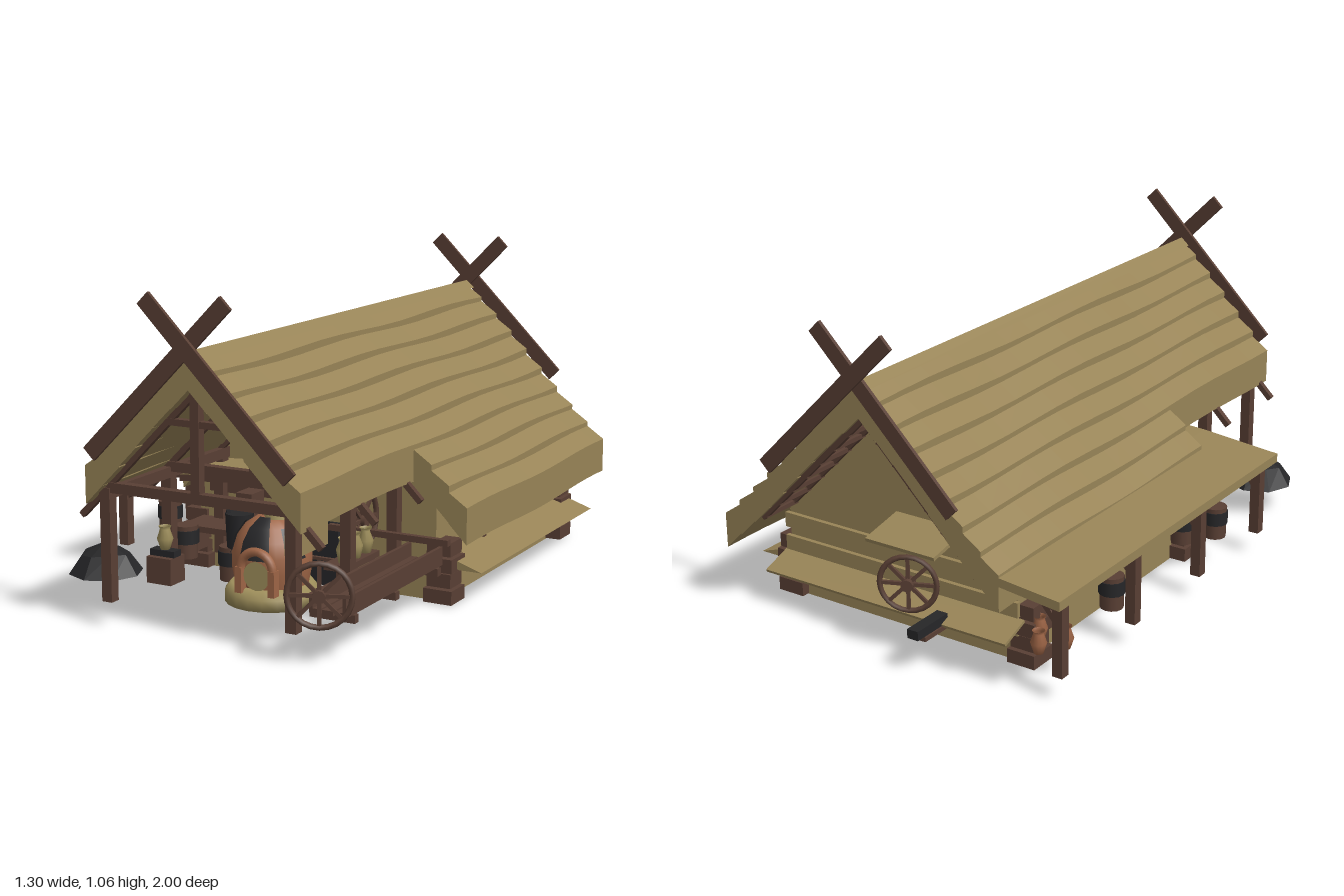
import * as THREE from 'three';

const mat = (name, color) => {
  const m = new THREE.MeshStandardMaterial({ color, side: THREE.DoubleSide });
  m.name = name;
  return m;
};

export function createModel() {
  const root = new THREE.Group();
  root.name = 'forgeHouse';
  const straw = mat('straw wood', 0x988457), wood = mat('dark wood', 0x593f34);
  const black = mat('coal black', 0x262628), clay = mat('clay', 0x9e6546), stone = mat('pale stone', 0xa0905c);
  const RX = 0.055; // ridge position

  const add = (name, geo, m, x = 0, y = 0, z = 0, parent = root) => {
    const mesh = new THREE.Mesh(geo, m);
    mesh.name = name;
    mesh.position.set(x, y, z);
    parent.add(mesh);
    return mesh;
  };
  // box given by its limits
  const box = (name, m, x0, x1, y0, y1, z0, z1) =>
    add(name, new THREE.BoxGeometry(x1 - x0, y1 - y0, z1 - z0), m, (x0 + x1) / 2, (y0 + y1) / 2, (z0 + z1) / 2);
  const extrude = (pts, z0, z1, steps = 1) => {
    const g = new THREE.ExtrudeGeometry(new THREE.Shape(pts.map(p => new THREE.Vector2(...p))),
      { depth: z1 - z0, steps, bevelEnabled: false });
    return g.translate(0, 0, z0);
  };
  const cyl = (name, m, r0, r1, h, x, y, z, n = 12) =>
    add(name, new THREE.CylinderGeometry(r0, r1, h, n), m, x, y + h / 2, z);
  const lathe = (name, m, pts, x, y, z, n = 20, from = 0, angle = Math.PI * 2) =>
    add(name, new THREE.LatheGeometry(pts.map(p => new THREE.Vector2(...p)), n, from, angle), m, x, y, z);
  // square beam between two points
  const beam = (name, m, a, b, t = 0.025) => {
    const A = new THREE.Vector3(...a), B = new THREE.Vector3(...b);
    const mesh = add(name, new THREE.BoxGeometry(t, t, A.distanceTo(B)), m);
    mesh.position.copy(A).add(B).multiplyScalar(0.5);
    mesh.lookAt(B);
  };

  // Roof: overlapping, slightly wavy boards on both slopes
  const w = 0.0625;
  for (const [s, count] of [[1, 9], [-1, 8]]) {
    for (let i = 0; i < count; i++) {
      const a = i * w, b = a + w;
      const g = extrude([[RX + s * a, 0.87 - a], [RX + s * b, 0.89 - b], [RX + s * b, 0.77 - b], [RX + s * a, 0.77 - a]],
        -0.955, i < 6 ? 0.965 : 0.245, 14);
      const p = g.attributes.position;
      for (let k = 0; k < p.count; k++) {
        const z = p.getZ(k);
        p.setY(k, p.getY(k) + 0.005 * Math.sin(z * 7 + i * 0.9));
      }
      g.computeVertexNormals();
      add('roofBoard', g, straw);
    }
  }
  add('ridgeCap', extrude([[RX - 0.03, 0.86], [RX, 0.887], [RX + 0.03, 0.86]], -0.955, 0.965), straw);

  // Crossed gable boards at both ends
  for (const e of [1, -1]) {
    for (const [s, z] of [[1, 0.985], [-1, 0.973]]) {
      const b = add('crossBoard', new THREE.BoxGeometry(0.69, 0.052, 0.012), wood, RX + s * 0.107, 0.793, e * z);
      b.rotation.z = -s * Math.PI / 4;
    }
  }

  // Porch frame
  for (const x of [-0.27, 0.38]) {
    for (const z of [0.92, 0.59, 0.28]) box('porchPost', wood, x - 0.018, x + 0.018, 0.08, 0.43, z - 0.018, z + 0.018);
    box('wallPlate', wood, x - 0.018, x + 0.018, 0.405, 0.44, 0.25, 0.94);
  }
  for (const z of [0.92, 0.59]) {
    box('tieBeam', wood, -0.28, 0.39, 0.425, 0.457, z - 0.015, z + 0.015);
    box('kingPost', wood, RX - 0.015, RX + 0.015, 0.45, 0.77, z - 0.015, z + 0.015);
    box('collarBeam', wood, RX - 0.1, RX + 0.1, 0.655, 0.675, z - 0.012, z + 0.012);
  }
  for (const z of [0.92, 0.59, 0.28, -0.8, -0.93])
    for (const s of [1, -1]) beam('rafter', wood, [RX, 0.762, z], [RX + s * 0.42, 0.342, z], 0.02);
  for (const s of [1, -1])
    for (let i = 1; i < 8; i++)
      beam('roofBatten', wood, [RX + s * i * 0.058, 0.757 - i * 0.058, -0.94], [RX + s * i * 0.058, 0.757 - i * 0.058, -0.79], 0.014);

  // House walls and gables
  const gable = [[-0.39, 0.1], [0.5, 0.1], [0.5, 0.33], [RX, 0.78], [-0.39, 0.33]];
  add('frontGableWall', extrude(gable, 0.2, 0.22), straw);
  add('backGableWall', extrude(gable, -0.78, -0.76), straw);
  add('gableVent', extrude([[RX - 0.095, 0.665], [RX + 0.095, 0.665], [RX, 0.77]], 0.221, 0.226), black);
  box('sideWall', straw, 0.48, 0.5, 0.1, 0.34, -0.77, 0.21);
  box('sideWall', straw, -0.39, -0.37, 0.1, 0.34, -0.77, 0.21);
  for (const y of [0.17, 0.25]) box('wallPlank', straw, -0.4, 0.51, y, y + 0.05, -0.795, -0.78);

  // Foundation frame, open underneath
  box('foundationFront', straw, -0.36, 0.51, 0, 0.1, 0.17, 0.2);
  box('foundationBack', straw, -0.36, 0.51, 0, 0.1, -0.75, -0.72);
  box('foundationSide', straw, 0.48, 0.51, 0, 0.15, -0.73, 0.18);
  box('foundationSide', straw, -0.39, -0.36, 0, 0.15, -0.73, 0.18);
  for (const x of [-0.4, 0.515]) {
    for (const z of [0.19, -0.73]) {
      for (let i = 0; i < 4; i++) {
        const t = i % 2 ? 0.042 : 0.05;
        box('cornerLog', wood, x - t, x + t, i * 0.052 + 0.003, i * 0.052 + 0.049, z - t, z + t);
      }
    }
  }
  box('door', black, -0.03, 0.15, 0.003, 0.22, 0.16, 0.232);
  for (const x of [-0.065, 0.15]) box('doorJamb', wood, x, x + 0.035, 0, 0.1, 0.2, 0.245);
  box('doorLintel', wood, -0.065, 0.185, 0.09, 0.1, 0.2, 0.245);

  // Sloping splash boards
  add('sideSkirt', extrude([[0.49, 0.165], [0.65, 0.112], [0.57, 0.112], [0.49, 0.15]], -0.76, 0.2), straw);
  const skirt = add('backSkirt', new THREE.BoxGeometry(0.94, 0.01, 0.11), straw, RX, 0.14, -0.83);
  skirt.rotation.x = -0.35;
  for (const z of [-0.6, -0.27, 0.06]) box('eaveBracket', wood, 0.58, 0.6, 0.195, 0.21, z - 0.01, z + 0.01);

  // Lean-to
  add('leanToRoof', extrude([[-0.655, 0.36], [-0.37, 0.388], [-0.37, 0.36], [-0.655, 0.33]], -0.955, 0.4), straw);
  add('leanToRoofInner', extrude([[-0.37, 0.388], [0.05, 0.412], [0.05, 0.4], [-0.37, 0.36]], 0.23, 0.4), straw);
  beam('leanToBeam', wood, [-0.36, 0.35, 0.385], [0.06, 0.385, 0.385], 0.022);
  box('leanToBeamEnd', wood, 0.03, 0.062, 0.35, 0.385, 0.36, 0.41);
  box('leanToPlate', wood, -0.625, -0.595, 0.315, 0.34, -0.93, 0.39);
  for (const z of [-0.88, -0.47, -0.06, 0.35]) {
    box('leanToPost', wood, -0.627, -0.592, 0.08, 0.335, z - 0.018, z + 0.018);
    beam('leanToBrace', wood, [-0.6, 0.25, z], [-0.52, 0.345, z], 0.018);
    beam('leanToJoist', wood, [-0.62, 0.33, z], [-0.36, 0.352, z], 0.02);
  }

  // Spoked wheel
  const wheel = (name, r, x, y, z, ry) => {
    const g = new THREE.Group();
    g.name = name;
    add('rim', new THREE.TorusGeometry(r, 0.009, 6, 24), wood, 0, 0, 0, g);
    add('hub', new THREE.CylinderGeometry(0.02, 0.02, 0.04, 10).rotateX(Math.PI / 2), wood, 0, 0, 0, g);
    for (let i = 0; i < 4; i++)
      add('spoke', new THREE.BoxGeometry(r * 2, 0.011, 0.01), wood, 0, 0, 0, g).rotation.z = i * Math.PI / 4;
    g.position.set(x, y, z);
    g.rotation.y = ry;
    root.add(g);
  };
  wheel('frontWheel', 0.095, 0.485, 0.215, 0.955, 0.4);
  wheel('innerWheel', 0.1, 0.29, 0.27, 0.33, Math.PI / 2);
  wheel('backWheel', 0.09, -0.07, 0.24, -0.9, 0.4);
  box('wheelAxle', wood, 0.2, 0.62, 0.24, 0.26, 0.37, 0.39);
  box('backSpout', black, -0.18, -0.14, 0.12, 0.15, -1.0, -0.85);
  box('backSpoutRest', wood, -0.185, -0.135, 0.105, 0.12, -0.97, -0.78);
  const hood = add('backHood', new THREE.BoxGeometry(0.26, 0.012, 0.16), straw, -0.07, 0.385, -0.86);
  hood.rotation.x = -0.2;

  // Side trough built of long planks
  for (const x of [0.42, 0.463, 0.506]) box('troughPlank', wood, x, x + 0.036, 0.14, 0.155, 0.26, 0.9);
  for (const x of [0.42, 0.53]) box('troughSide', wood, x, x + 0.012, 0.14, 0.2, 0.26, 0.9);
  for (const z of [0.3, 0.59, 0.85]) box('troughLeg', wood, 0.4, 0.55, 0.115, 0.14, z - 0.012, z + 0.012);

  // Domed furnace
  const fx = 0.19, fz = 0.72;
  lathe('furnaceBase', stone, [[0, 0], [0.145, 0], [0.145, 0.035], [0.125, 0.06], [0, 0.06]], fx, 0.1, fz);
  lathe('furnaceDome', clay, [[0.112, 0], [0.122, 0.05], [0.122, 0.1], [0.108, 0.145], [0.082, 0.182], [0.045, 0.207], [0, 0.212]], fx, 0.155, fz);
  cyl('furnaceCap', stone, 0.036, 0.042, 0.03, fx + 0.02, 0.36, fz);
  const patch = [[0.126, 0.095], [0.112, 0.146], [0.085, 0.185], [0.045, 0.211]];
  lathe('furnaceFrontPatch', black, patch, fx, 0.155, fz, 6, -0.35, 0.8);
  for (const a of [-1.55, 0.85, 2.8]) lathe('furnaceSidePatch', black, patch.slice(0, 3), fx, 0.155, fz, 5, a, 0.6);
  add('furnaceArch', new THREE.TorusGeometry(0.055, 0.014, 8, 16, Math.PI), clay, fx + 0.02, 0.225, fz + 0.125);
  for (const s of [-1, 1]) {
    const lx = fx + 0.02 + s * 0.057;
    box('archLeg', clay, lx - 0.011, lx + 0.011, 0.15, 0.23, fz + 0.11, fz + 0.14);
  }
  add('furnaceMouth', new THREE.CircleGeometry(0.045, 16), stone, fx + 0.02, 0.205, fz + 0.127);
  box('furnaceScreen', straw, 0.31, 0.35, 0.28, 0.38, 0.66, 0.85);
  for (const z of [0.4, 0.47, 0.54])
    lathe('jar', stone, [[0, 0], [0.018, 0], [0.026, 0.04], [0.014, 0.07], [0.02, 0.08]], 0.34, 0.19, z, 10);
  box('jarBench', wood, 0.29, 0.37, 0.17, 0.19, 0.36, 0.58);

  // Coal heap with a faceted, uneven top
  const coal = add('coalPile', new THREE.ConeGeometry(0.12, 0.1, 8, 2).toNonIndexed(), black, -0.43, 0.15, 0.72);
  const cp = coal.geometry.attributes.position;
  for (let k = 0; k < cp.count; k++) {
    const x = cp.getX(k), z = cp.getZ(k);
    if (Math.abs(cp.getY(k)) < 0.01) cp.setXYZ(k, x * 1.3, 0.015 + 0.2 * x * z / 0.06, z * 1.3);
  }
  coal.geometry.computeVertexNormals();

  // Workshop fittings: barrels, anvil, bench, shelves
  for (const [x, z] of [[-0.53, 0.2], [-0.46, 0.1], [-0.52, -0.45], [-0.3, 0.45], [-0.03, 0.6]]) {
    cyl('barrel', wood, 0.04, 0.038, 0.11, x, 0.1, z);
    cyl('barrelBand', black, 0.043, 0.043, 0.045, x, 0.15, z);
  }
  cyl('waterTub', black, 0.045, 0.04, 0.11, 0, 0.21, 0.6);
  beam('tubTool', black, [-0.01, 0.22, 0.6], [-0.03, 0.33, 0.62], 0.012);
  box('anvilStump', wood, -0.245, -0.155, 0.1, 0.185, 0.68, 0.76);
  box('anvil', black, -0.245, -0.155, 0.185, 0.205, 0.7, 0.74);
  const pot = [[0, 0], [0.015, 0], [0.026, 0.035], [0.016, 0.065], [0.02, 0.075]];
  lathe('benchPot', stone, pot, -0.2, 0.205, 0.72, 12);
  for (const [x, z] of [[-0.5, -0.83], [-0.55, -0.76], [-0.45, -0.75]]) lathe('clayPot', clay, pot, x, 0.1, z, 12);
  box('workBench', wood, -0.34, 0.03, 0.18, 0.2, 0.28, 0.42);
  for (const x of [-0.32, 0]) box('benchLeg', wood, x - 0.012, x + 0.012, 0.1, 0.18, 0.3, 0.4);
  box('toolShelf', wood, -0.32, 0.02, 0.285, 0.335, 0.225, 0.27);
  box('toolChest', wood, -0.15, -0.09, 0.2, 0.32, 0.3, 0.38);
  for (const z of [-0.6, -0.3, 0]) {
    cyl('storedTub', wood, 0.05, 0.045, 0.09, 0.1, 0.1, z);
    box('storedCrate', black, -0.2, -0.1, 0.1, 0.17, z - 0.05, z + 0.05);
  }
  return root;
}
